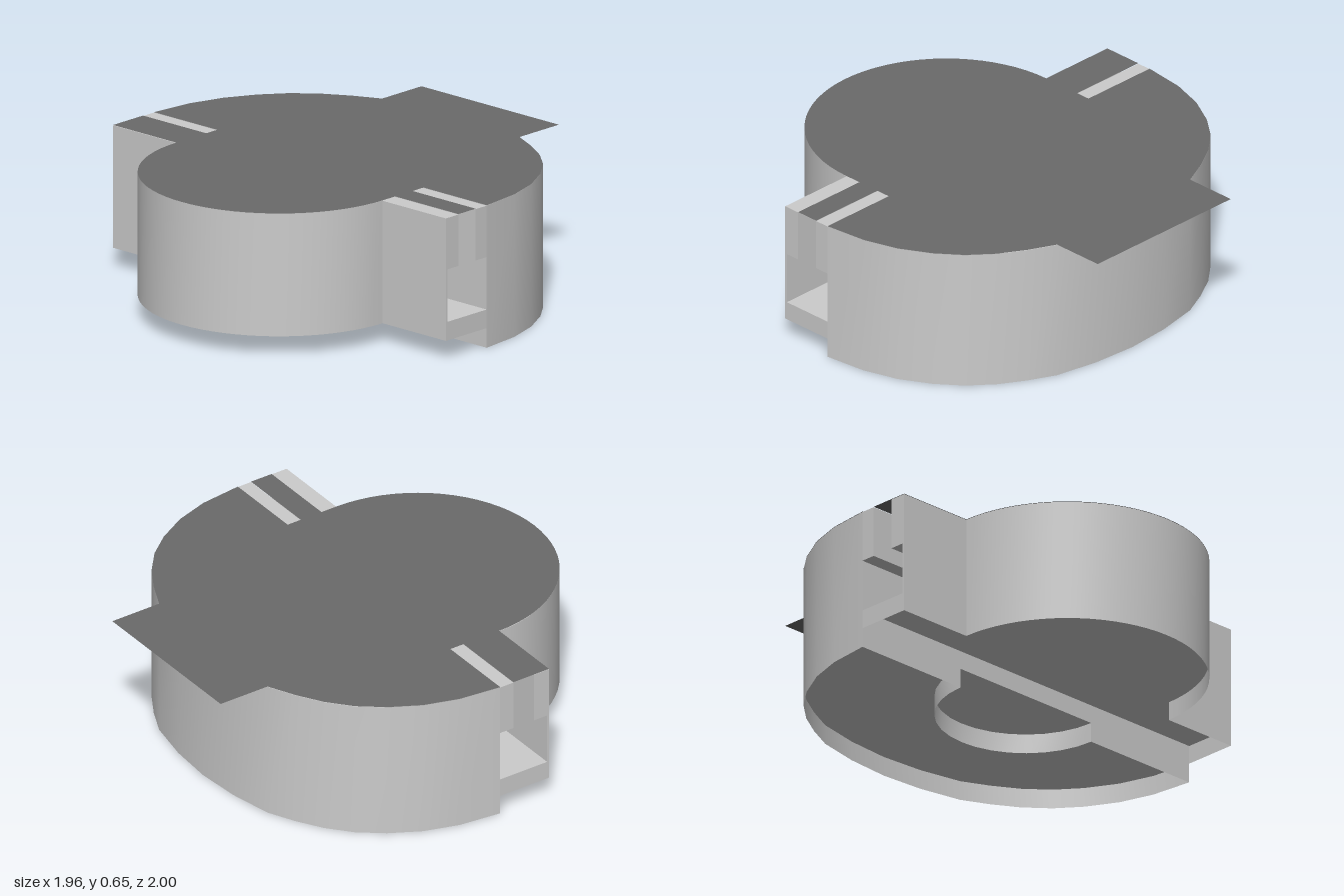
import * as THREE from 'three';
import { toCreasedNormals } from 'three/addons/utils/BufferGeometryUtils.js';

const grey = new THREE.MeshStandardMaterial({ color: 0xcccccc, side: THREE.DoubleSide });
const dark = new THREE.MeshStandardMaterial({ color: 0x6a6a6a, side: THREE.DoubleSide });

const TOP = 0.65, SHELF = 0.175, LOW = 0.09;
const WALL = -0.1, EDGE = -0.36, R = 0.62;

// Points [x, z] along an arc
function arc(cx, r, from, to, n) {
  return Array.from({ length: n + 1 }, (_, i) => {
    const a = from + (to - from) * i / n;
    return [cx + r * Math.cos(a), r * Math.sin(a)];
  });
}

export function createModel() {
  const group = new THREE.Group();

  function add(name, geometry, material = grey) {
    const mesh = new THREE.Mesh(geometry, material);
    mesh.name = name;
    group.add(mesh);
  }

  // Thin vertical wall following a plan path
  function wall(name, path, y0, y1) {
    const pos = [];
    for (let i = 0; i + 1 < path.length; i++) {
      const [ax, az] = path[i], [bx, bz] = path[i + 1];
      pos.push(ax, y0, az, ax, y1, az, bx, y0, bz, bx, y0, bz, ax, y1, az, bx, y1, bz);
    }
    const g = new THREE.BufferGeometry();
    g.setAttribute('position', new THREE.Float32BufferAttribute(pos, 3));
    add(name, toCreasedNormals(g, 0.5));
  }

  // Flat horizontal sheet with a plan outline
  function sheet(name, outline, y, material) {
    const shape = new THREE.Shape(outline.map(([x, z]) => new THREE.Vector2(x, -z)));
    const g = new THREE.ShapeGeometry(shape);
    g.rotateX(-Math.PI / 2).translate(0, y, 0);
    add(name, g, material);
  }

  // Plan outlines of the large curved half and the small round half
  const quarter = [[WALL, -1], [0.1, -0.977], [0.26, -0.927], [0.4, -0.85], [0.51, -0.763],
    [0.6, -0.657], [0.67, -0.54], [0.73, -0.413], [0.77, -0.21]];
  const mirrored = quarter.map(([x, z]) => [x, -z]).reverse();
  const large = [...quarter, [0.785, 0], ...mirrored];
  const round = arc(EDGE, R, Math.PI / 2, Math.PI * 1.5, 36);
  const notch = arc(WALL, 0.4, Math.PI / 2, -Math.PI / 2, 16);

  // Large half: outer wall, recessed underside with a round opening
  wall('largeOuterWall', large, 0, TOP);
  sheet('largeUnderside', [...large, ...notch.slice().reverse()].reverse(), LOW);
  wall('undersideArcRim', notch, 0, LOW);

  // Small half: round wall, shelf and its lower skirt
  wall('roundWall', round, LOW, TOP);
  sheet('shelf', [[WALL, 1], [EDGE, 1], ...round, [EDGE, -1], [WALL, -1]], SHELF);

  // Channel between the halves
  wall('channelLargeSide', [[WALL, -1], [WALL, 1]], LOW, TOP);
  wall('channelRoundSide', [[EDGE, -1], [EDGE, 1]], SHELF, TOP);
  for (const s of [-1, 1]) {
    wall('undersideRidge', [[WALL, s * 0.4], [WALL, s]], 0, LOW);
    wall('channelEndSkirt', [[EDGE, s * R], [EDGE, s], [WALL, s]], LOW, SHELF);
  }
  for (const [x0, x1] of [[EDGE, -0.28], [-0.17, WALL]]) {
    const lip = new THREE.BoxGeometry(x1 - x0, TOP - 0.415, 2);
    lip.translate((x0 + x1) / 2, (TOP + 0.415) / 2, 0);
    add('channelLip', lip);
  }
  const liner = new THREE.BoxGeometry(0.01, 0.24, 2);
  liner.translate(EDGE + 0.005, 0.295, 0);
  add('channelLiner', liner);

  // Thin dark lid with a side tab, leaving the lip ends bare
  const front = large.filter(([, z]) => z < -0.4), back = large.filter(([, z]) => z > 0.4);
  sheet('lid', [
    ...front, [0.98, -0.413], [0.98, 0.413], ...back,
    [WALL, R], [-0.17, R], [-0.17, 1], [-0.28, 1], [-0.28, R],
    ...round,
    [EDGE, -1], [-0.17, -1], [-0.17, -R], [WALL, -R],
  ], TOP + 0.002, dark);

  return group;
}
